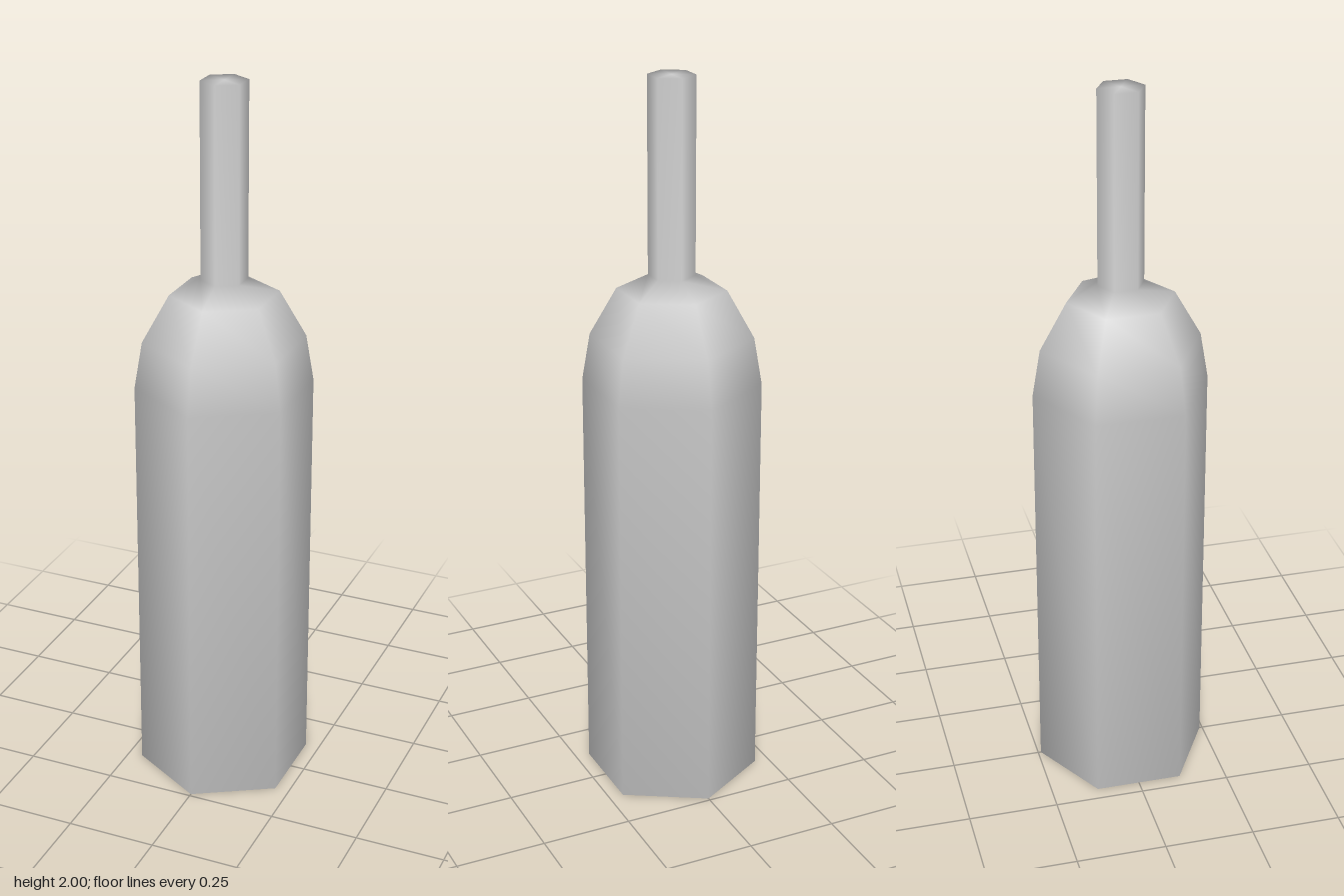
import * as THREE from 'three';

export function createModel() {
  const group = new THREE.Group();
  group.name = 'bottle';
  const material = new THREE.MeshStandardMaterial({ color: 0xcccccc });

  // Closed outline from the base centre, over body and shoulder, to the neck top
  const profile = [
    [0, 0],
    [0.242, 0], [0.242, 1.17], // body
    [0.22, 1.3], [0.147, 1.43], [0.063, 1.47], // shoulder
    [0.063, 2], [0, 2], // neck
  ].map(([r, y]) => new THREE.Vector2(r, y));

  // Six smooth-shaded sides, with corners on the z axis
  const bottle = new THREE.Mesh(new THREE.LatheGeometry(profile, 6), material);
  bottle.name = 'bottleBody';
  group.add(bottle);
  return group;
}
